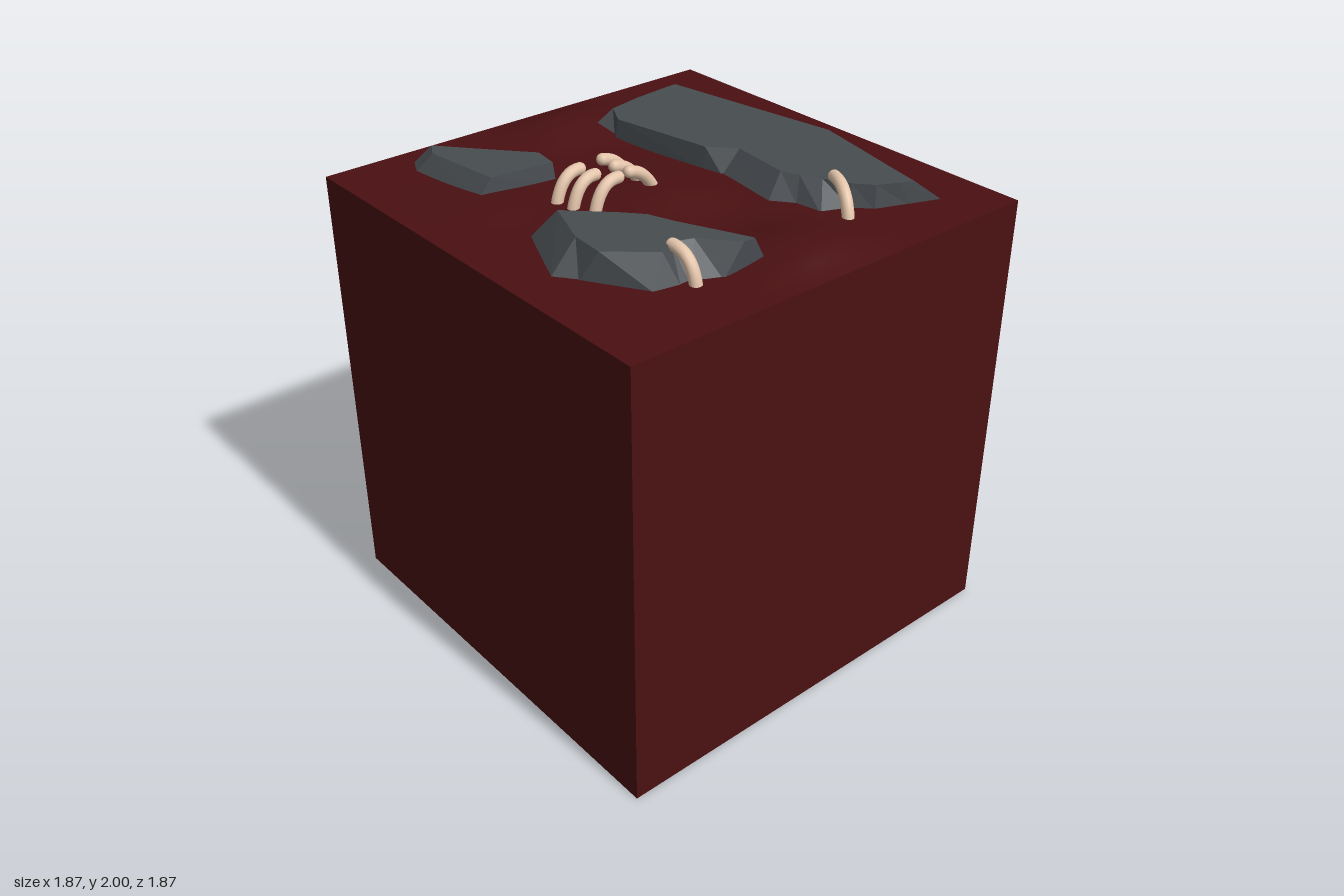
import * as THREE from 'three';

const SIDE = 1.87, HALF = SIDE / 2;
const flesh = new THREE.MeshStandardMaterial({ color: 0x4a1012 });
const stone = new THREE.MeshStandardMaterial({ color: 0x474c50, flatShading: true });
const bone = new THREE.MeshStandardMaterial({ color: 0xe3c4aa });

// Gentle mounds on the ground: [x, z, height, radius]
const mounds = [
  [-0.74, -0.1, 0.045, 0.24], [0.72, -0.02, 0.045, 0.22], [0.0, 0.1, 0.025, 0.22],
  [-0.3, 0.62, 0.015, 0.2], [0.35, -0.02, -0.015, 0.15], [-0.5, 0.0, -0.01, 0.12],
];
function groundHeight(x, z) {
  const fade = Math.min(1, (HALF - Math.max(Math.abs(x), Math.abs(z))) / 0.12);
  let h = 0;
  for (const [mx, mz, amp, r] of mounds) {
    h += amp * Math.exp(-((x - mx) ** 2 + (z - mz) ** 2) / (r * r));
  }
  return h * Math.max(0, fade);
}

// Cube whose top face is lifted into soft mounds
function makeGround() {
  const geo = new THREE.BoxGeometry(SIDE, SIDE, SIDE, 56, 1, 56);
  geo.translate(0, HALF, 0);
  const p = geo.attributes.position;
  for (let i = 0; i < p.count; i++) {
    if (p.getY(i) > HALF) p.setY(i, SIDE + groundHeight(p.getX(i), p.getZ(i)));
  }
  geo.computeVertexNormals();
  const mesh = new THREE.Mesh(geo, flesh);
  mesh.name = 'groundBlock';
  return mesh;
}

// Faceted slab; each row is [base x, base z, top x, top z], clockwise from above
function makeRock(name, topY, rows) {
  const base = rows.map(([x, z]) => new THREE.Vector3(x, 1.865, z));
  const top = rows.map((r) => new THREE.Vector3(r[2], topY, r[3]));
  const foot = base.map((v) => new THREE.Vector3(v.x, 1.83, v.z));
  const tris = [];
  const band = (lo, hi) => {
    for (let i = 0; i < lo.length; i++) {
      const j = (i + 1) % lo.length;
      tris.push(lo[i], hi[i], hi[j], lo[i], hi[j], lo[j]);
    }
  };
  band(foot, base);
  band(base, top);
  const flat = top.map((v) => new THREE.Vector2(v.x, -v.z));
  for (const [a, b, c] of THREE.ShapeUtils.triangulateShape(flat, [])) {
    const up = flat[b].clone().sub(flat[a]).cross(flat[c].clone().sub(flat[a])) > 0;
    tris.push(top[a], top[up ? b : c], top[up ? c : b]);
  }
  const geo = new THREE.BufferGeometry().setFromPoints(tris);
  geo.computeVertexNormals();
  const mesh = new THREE.Mesh(geo, stone);
  mesh.name = name;
  return mesh;
}

// Curved bone from a raised tip, over a bend, into the ground
function makeRib(name, tip, bend, root) {
  const curve = new THREE.QuadraticBezierCurve3(
    new THREE.Vector3(...tip), new THREE.Vector3(...bend), new THREE.Vector3(...root));
  const rib = new THREE.Group();
  rib.name = name;
  const r = 0.024;
  rib.add(new THREE.Mesh(new THREE.TubeGeometry(curve, 14, r, 12), bone));
  for (const end of [curve.v0, curve.v2]) {
    const cap = new THREE.Mesh(new THREE.SphereGeometry(r, 12, 8), bone);
    cap.position.copy(end);
    rib.add(cap);
  }
  rib.children.forEach((m, i) => { m.name = i ? 'ribEnd' : 'ribShaft'; });
  return rib;
}

export function createModel() {
  const model = new THREE.Group();
  model.name = 'rockyGroundBlock';
  model.add(makeGround());

  model.add(makeRock('largeBackRock', 1.96, [
    [-0.74, -0.73, -0.65, -0.6], [-0.36, -0.79, -0.28, -0.66], [-0.05, -0.81, -0.04, -0.7],
    [0.16, -0.85, 0.14, -0.73], [0.42, -0.8, 0.38, -0.68], [0.57, -0.75, 0.54, -0.645],
    [0.74, -0.73, 0.69, -0.615], [0.69, -0.6, 0.67, -0.56], [0.64, -0.47, 0.63, -0.48],
    [0.58, -0.41, 0.56, -0.42], [0.54, -0.29, 0.46, -0.37], [0.42, -0.28, 0.38, -0.33],
    [0.33, -0.22, 0.31, -0.3], [0.04, -0.25, 0.05, -0.33], [-0.04, -0.23, -0.05, -0.24],
    [-0.5, -0.15, -0.49, -0.16], [-0.65, -0.12, -0.6, -0.22], [-0.7, -0.37, -0.63, -0.38],
    [-0.69, -0.53, -0.645, -0.53],
  ]));

  model.add(makeRock('smallFrontRock', 1.94, [
    [-0.84, 0.6, -0.79, 0.54], [-0.66, 0.32, -0.6, 0.38], [-0.52, 0.22, -0.46, 0.26],
    [-0.34, 0.27, -0.35, 0.275], [-0.38, 0.6, -0.38, 0.54], [-0.76, 0.64, -0.72, 0.58],
  ]));

  model.add(makeRock('mediumFrontRock', 1.98, [
    [0.0, 0.64, 0.08, 0.57], [0.08, 0.53, 0.14, 0.51], [0.22, 0.42, 0.24, 0.41],
    [0.3, 0.34, 0.31, 0.35], [0.38, 0.24, 0.42, 0.31], [0.62, 0.14, 0.62, 0.22],
    [0.69, 0.13, 0.69, 0.19], [0.69, 0.33, 0.69, 0.24], [0.63, 0.43, 0.56, 0.35],
    [0.63, 0.47, 0.53, 0.43], [0.61, 0.57, 0.57, 0.5], [0.38, 0.71, 0.43, 0.66],
    [0.3, 0.77, 0.29, 0.65],
  ]));

  // Two facing rows of ribs in the middle
  const ribs = new THREE.Group();
  ribs.name = 'ribCage';
  [[-0.18, 0.04, 0.165, 0.28, 0.4], [-0.1, 0.045, 0.17, 0.27, 0.385], [-0.025, 0.04, 0.16, 0.22, 0.34]]
    .forEach(([x, backRoot, backTip, frontTip, frontRoot]) => {
      ribs.add(makeRib('backRib', [x, 1.976, backTip],
        [x - 0.005, 1.96, backRoot + 0.04], [x - 0.01, 1.86, backRoot - 0.01]));
      ribs.add(makeRib('frontRib', [x + 0.01, 1.974, frontTip],
        [x + 0.015, 1.985, frontRoot - 0.03], [x + 0.02, 1.86, frontRoot]));
    });
  model.add(ribs);

  // Single ribs hooked over the two larger rocks
  model.add(makeRib('backRockRib', [0.49, 1.972, -0.4], [0.61, 1.99, -0.345], [0.64, 1.85, -0.33]));
  model.add(makeRib('frontRockRib', [0.54, 1.974, 0.43], [0.645, 1.98, 0.43], [0.665, 1.85, 0.43]));
  return model;
}
